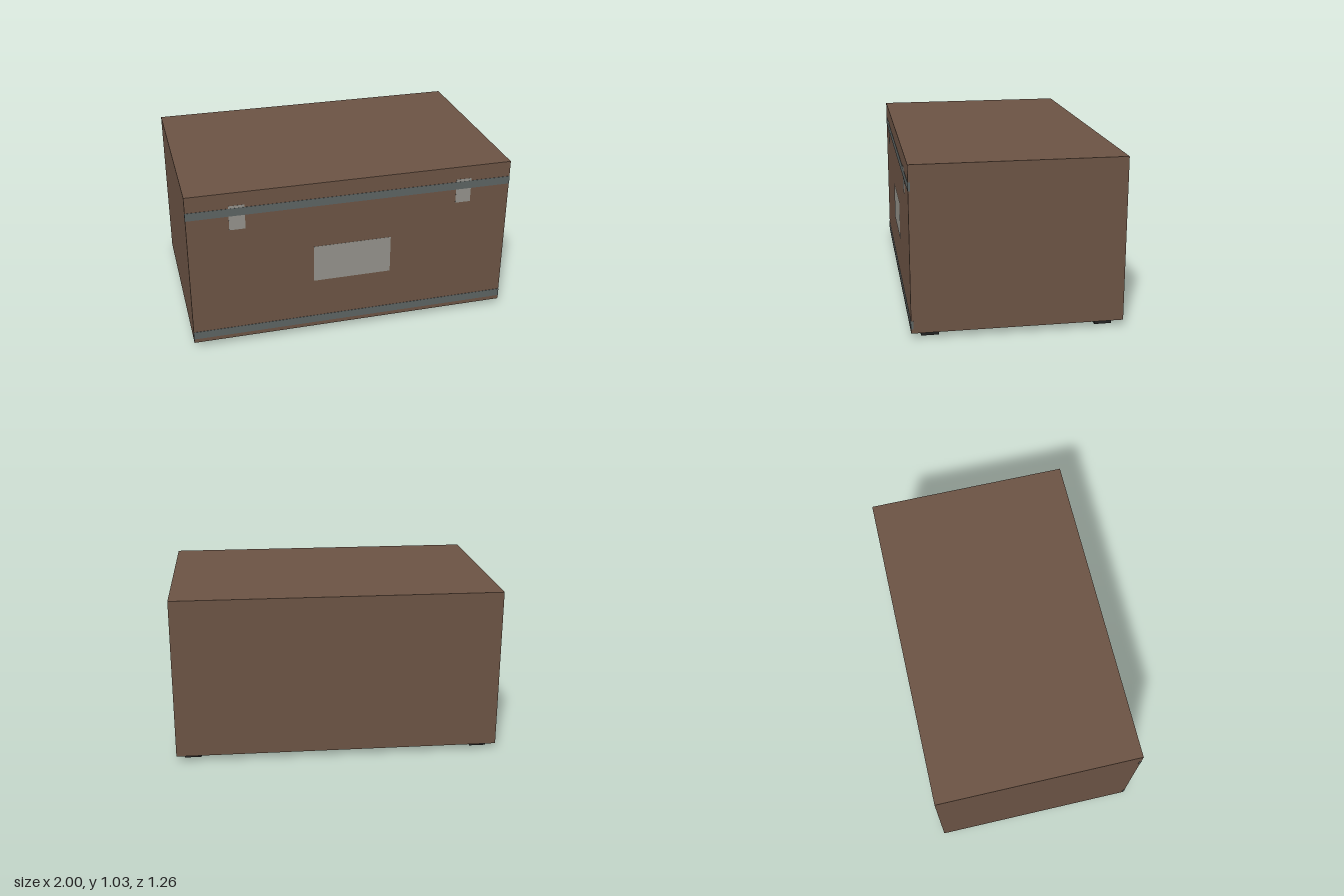
import * as THREE from 'three';

const paint = (color) => new THREE.MeshStandardMaterial({ color });

export function createModel() {
  const model = new THREE.Group();
  model.name = 'trunk';
  const wood = paint(0x6b5344);
  const steel = paint(0x5c6362);
  const plateMetal = paint(0x93918a);
  const rubber = paint(0x222222);

  // Box given by its width, height, depth and centre
  const addBox = (name, material, w, h, d, x, y, z) => {
    const mesh = new THREE.Mesh(new THREE.BoxGeometry(w, h, d), material);
    mesh.name = name;
    mesh.position.set(x, y, z);
    model.add(mesh);
  };

  const front = 0.628;

  // Case
  addBox('caseBody', wood, 1.998, 0.993, front * 2, 0, 0.5335, 0);

  // Inlaid bands along the front, barely proud of the case
  addBox('upperBand', steel, 2, 0.05, 0.015, 0, 0.906, front - 0.0055);
  addBox('lowerBand', steel, 2, 0.05, 0.015, 0, 0.088, front - 0.0055);

  // Front plate
  addBox('frontPlate', plateMetal, 0.486, 0.24, 0.01, 0, 0.487, front - 0.004);

  for (const side of [-1, 1]) {
    const name = side > 0 ? 'left' : 'right';
    // Latches, crossed by the upper band
    addBox(name + 'Latch', plateMetal, 0.096, 0.157, 0.01, side * 0.7, 0.869, front - 0.004);
    // Feet
    for (const end of [-1, 1]) {
      addBox(name + (end > 0 ? 'FrontFoot' : 'BackFoot'), rubber,
        0.103, 0.037, 0.103, side * 0.9, 0.0185, end * 0.517);
    }
  }
  return model;
}
